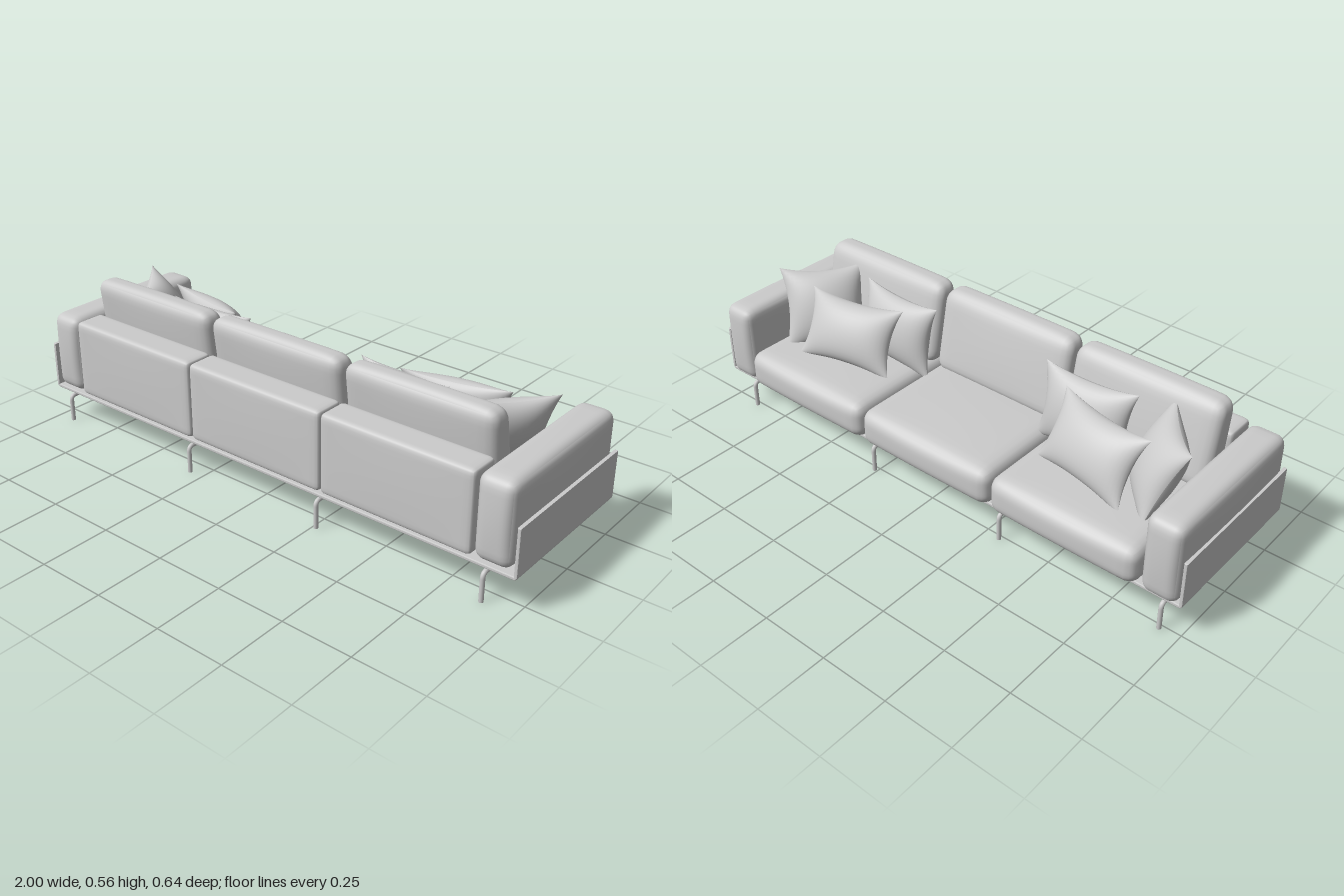
import * as THREE from 'three';
import { mergeVertices } from 'three/addons/utils/BufferGeometryUtils.js';

const material = new THREE.MeshStandardMaterial({ color: 0xcccccc });

function add(parent, name, geometry, x = 0, y = 0, z = 0) {
  const mesh = new THREE.Mesh(geometry, material);
  mesh.name = name;
  mesh.position.set(x, y, z);
  parent.add(mesh);
  return mesh;
}

// Upholstered block: rounded edges, faces puffed out by (bx, by, bz), optional warp
function softBox(w, h, d, r, puff = [0, 0, 0], warp) {
  let g = new THREE.BoxGeometry(2, 2, 2, 18, 18, 18);
  g.deleteAttribute('uv');
  g.deleteAttribute('normal');
  g = mergeVertices(g);
  const half = new THREE.Vector3(w / 2, h / 2, d / 2);
  const pos = g.attributes.position;
  const t = new THREE.Vector3(), p = new THREE.Vector3(), inner = new THREE.Vector3();
  for (let i = 0; i < pos.count; i++) {
    t.fromBufferAttribute(pos, i);
    // crowd the vertices towards the edges
    t.set(...t.toArray().map((v) => Math.sin(v * Math.PI / 2)));
    p.copy(t).multiply(half);
    const core = half.clone().subScalar(r);
    inner.copy(p).clamp(core.clone().negate(), core);
    p.sub(inner).normalize().multiplyScalar(r).add(inner);
    const fx = 1 - t.x * t.x, fy = 1 - t.y * t.y, fz = 1 - t.z * t.z;
    p.x += puff[0] * t.x * fy * fz;
    p.y += puff[1] * t.y * fx * fz;
    p.z += puff[2] * t.z * fx * fy;
    if (warp) warp(p);
    pos.setXYZ(i, p.x, p.y, p.z);
  }
  g.computeVertexNormals();
  return g;
}

// Throw pillow: two bulging faces meeting in a seam with pulled-out corners
function pillowGeometry(w, h, thickness) {
  const g = new THREE.BoxGeometry(2, 2, 2, 20, 20, 1);
  const pos = g.attributes.position;
  for (let i = 0; i < pos.count; i++) {
    const u = Math.sin(pos.getX(i) * Math.PI / 2);
    const v = Math.sin(pos.getY(i) * Math.PI / 2);
    const bulge = Math.pow(Math.max(0, (1 - u * u) * (1 - v * v)), 0.6);
    pos.setXYZ(i,
      u * w / 2 * (1 - 0.14 * u * u * (1 - v * v)),
      v * h / 2 * (1 - 0.14 * v * v * (1 - u * u)),
      Math.sign(pos.getZ(i)) * bulge * thickness / 2);
  }
  g.computeVertexNormals();
  return g;
}

// Tray: floor with upturned side panels, extruded along the depth
function trayGeometry() {
  const s = new THREE.Shape();
  const r = 0.015, t = 0.012, y0 = 0.122, y1 = 0.298;
  s.moveTo(-1 + r, y0);
  s.lineTo(1 - r, y0);
  s.quadraticCurveTo(1, y0, 1, y0 + r);
  s.lineTo(1, y1);
  s.lineTo(1 - t, y1);
  s.lineTo(1 - t, y0 + t);
  s.lineTo(-1 + t, y0 + t);
  s.lineTo(-1 + t, y1);
  s.lineTo(-1, y1);
  s.lineTo(-1, y0 + r);
  s.quadraticCurveTo(-1, y0, -1 + r, y0);
  const g = new THREE.ExtrudeGeometry(s, {
    depth: 0.578, curveSegments: 5, bevelThickness: 0.003, bevelSize: 0.003, bevelOffset: -0.003, bevelSegments: 2,
  });
  return g.translate(0, 0, -0.267);
}

// Bent-tube leg frame running front to back
function legFrameGeometry() {
  const y = 0.1, front = -0.265, back = 0.309, r = 0.018;
  const v = (py, pz) => new THREE.Vector3(0, py, pz);
  const path = new THREE.CurvePath();
  path.add(new THREE.LineCurve3(v(0, front), v(y - r, front)));
  path.add(new THREE.QuadraticBezierCurve3(v(y - r, front), v(y, front), v(y, front + r)));
  path.add(new THREE.LineCurve3(v(y, front + r), v(y, back - r)));
  path.add(new THREE.QuadraticBezierCurve3(v(y, back - r), v(y, back), v(y - r, back)));
  path.add(new THREE.LineCurve3(v(y - r, back), v(0, back)));
  return new THREE.TubeGeometry(path, 140, 0.008, 12);
}

export function createModel() {
  const sofa = new THREE.Group();
  sofa.name = 'sofa';

  // Base
  add(sofa, 'tray', trayGeometry());
  add(sofa, 'underPlate', new THREE.BoxGeometry(1.87, 0.02, 0.52), -0.027, 0.113, 0.025);
  const frame = legFrameGeometry();
  const foot = new THREE.CircleGeometry(0.008, 12).rotateX(Math.PI / 2);
  for (const x of [-0.93, -0.307, 0.262, 0.887]) {
    const leg = new THREE.Group();
    leg.name = 'legFrame';
    leg.position.x = x;
    add(leg, 'legTube', frame);
    for (const z of [-0.265, 0.309]) add(leg, 'legFoot', foot, 0, 0, z);
    sofa.add(leg);
  }

  // Armrests
  const arm = softBox(0.13, 0.29, 0.606, 0.035, [0.004, 0.003, 0.008]);
  add(sofa, 'rightArm', arm, -0.923, 0.279, 0.01);
  add(sofa, 'leftArm', arm, 0.908, 0.279, 0.01);

  // Three seating sections
  const seat = softBox(0.565, 0.14, 0.51, 0.045, [0, 0.008, 0.008]);
  const backPanel = softBox(0.563, 0.285, 0.118, 0.018, [0, 0, 0.003]);
  const backCushion = softBox(0.555, 0.3, 0.125, 0.045, [0, 0.003, 0.008], (p) => {
    const k = (p.y + 0.15) / 0.3;
    p.z = p.z * (1 - 0.25 * k) + 0.122 + 0.05 * k;
  });
  for (const i of [-1, 0, 1]) {
    const x = i * 0.566 - 0.006;
    add(sofa, 'seatCushion', seat, x, 0.205, -0.057);
    add(sofa, 'backPanel', backPanel, x, 0.28, 0.257);
    add(sofa, 'backCushion', backCushion, x, 0.408, 0);
  }

  // Throw pillows, mirrored on both sides
  const pillows = [
    { name: 'cornerPillow', size: [0.31, 0.3, 0.13], at: [-0.73, 0.385, -0.02], yaw: -0.86, lean: 0.45 },
    { name: 'backPillow', size: [0.35, 0.27, 0.12], at: [-0.415, 0.385, 0.035], yaw: 0.05, lean: 0.2 },
    { name: 'lumbarPillow', size: [0.38, 0.25, 0.12], at: [-0.53, 0.38, -0.09], yaw: -0.2, lean: 0.5 },
  ];
  for (const { name, size, at, yaw, lean } of pillows) {
    const g = pillowGeometry(...size);
    for (const side of [1, -1]) {
      const mesh = add(sofa, name, g, at[0] * side, at[1], at[2]);
      mesh.rotation.set(lean, yaw * side, 0, 'YXZ');
    }
  }
  return sofa;
}
